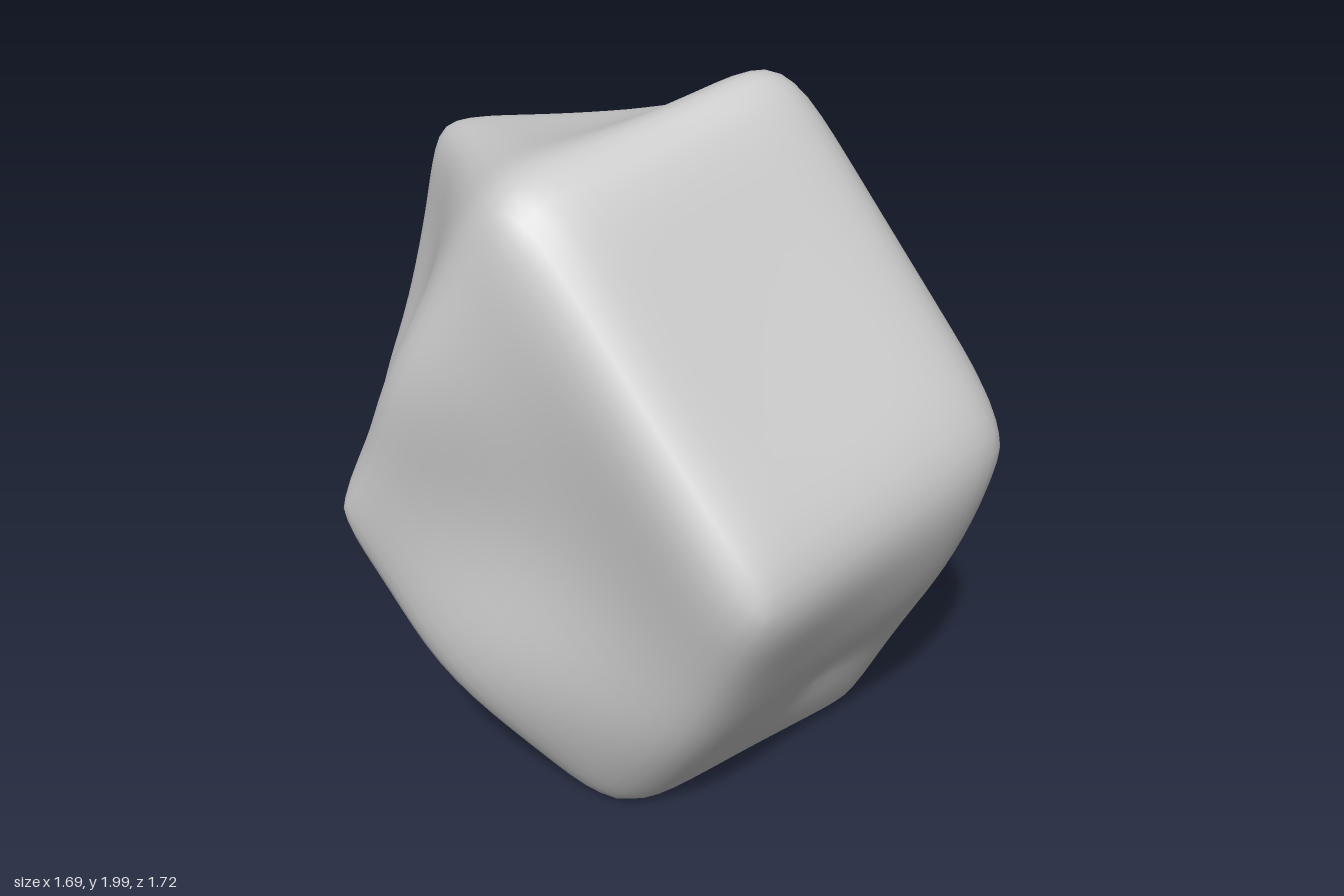
import * as THREE from 'three';
import { mergeVertices } from 'three/addons/utils/BufferGeometryUtils.js';

// Where the rounded corners of the boulder lie: a skewed twelve-sided block
const corners = {
  topRight: [0.32, 1.975, 0.02], topFront: [-0.45, 1.79, 0.32],
  topBack: [0.34, 1.64, -0.59], topLeft: [-0.45, 1.73, -0.5],
  front: [0.05, 0.98, 0.855], back: [-0.03, 0.88, -0.84],
  rightFront: [0.83, 1.06, 0.38], rightBack: [0.79, 1.06, -0.43],
  leftFront: [-0.83, 0.86, -0.05], leftBack: [-0.62, 0.9, -0.55],
  footRightFront: [0.56, 0.04, 0.06], footRightBack: [0.47, 0.05, -0.61],
  footLeftFront: [-0.22, 0.04, 0.29], footLeftBack: [-0.23, 0.04, -0.38],
};

// Four corners in order around each face, then how deeply it is worn in
const faces = [
  ['topRight', 'topFront', 'topLeft', 'topBack', 0.05],
  ['topRight', 'topFront', 'front', 'rightFront', 0.04],
  ['topRight', 'rightFront', 'rightBack', 'topBack', 0],
  ['topBack', 'back', 'leftBack', 'topLeft', 0.01],
  ['topLeft', 'leftBack', 'leftFront', 'topFront', 0.08],
  ['topFront', 'leftFront', 'footLeftFront', 'front', 0.05],
  ['front', 'footLeftFront', 'footRightFront', 'rightFront', 0],
  ['rightFront', 'footRightFront', 'footRightBack', 'rightBack', 0],
  ['rightBack', 'footRightBack', 'back', 'topBack', 0.12],
  ['back', 'footRightBack', 'footLeftBack', 'leftBack', 0],
  ['leftBack', 'footLeftBack', 'footLeftFront', 'leftFront', 0],
  ['footRightFront', 'footRightBack', 'footLeftBack', 'footLeftFront', 0],
];

// Soft swellings and dimples of the sides: position, radius, height
const swells = [
  [[-0.55, 0.35, 0], 0.4, 0.06],
  [[-0.5, 0.5, 0.32], 0.3, 0.05],
  [[-0.64, 1.32, 0.1], 0.3, 0.05],
  [[-0.1, 0.4, 0.55], 0.35, 0.04],
  [[-0.4, 0.6, -0.65], 0.4, 0.05],
  [[-0.3, 0.75, -0.76], 0.28, 0.03],
  [[0.1, 0.4, -0.7], 0.35, 0.05],
  [[0.6, 0.65, 0.45], 0.3, 0.035],
  [[0.45, 0.35, 0.42], 0.12, -0.04],
];

const STEPS = 18;
const ROUNDING = 14;
const centre = new THREE.Vector3(0, 0.95, 0);

// Adds one face as a grid of points, pushed inwards towards its middle
function addFace(cage, [a, b, c, d, dent], positions, index) {
  let [p, q, r, s] = [a, b, c, d].map((name) => cage[name]);
  const normal = r.clone().sub(p).cross(s.clone().sub(q)).normalize();
  const middle = p.clone().add(q).add(r).add(s).multiplyScalar(0.25);
  if (normal.dot(middle.sub(centre)) < 0) {
    [q, s] = [s, q];
    normal.negate();
  }
  const base = positions.length / 3;
  const row = STEPS + 1;
  for (let j = 0; j <= STEPS; j++) {
    for (let i = 0; i <= STEPS; i++) {
      const u = i / STEPS, v = j / STEPS;
      const near = p.clone().lerp(q, u), far = s.clone().lerp(r, u);
      const depth = dent * 16 * u * (1 - u) * v * (1 - v);
      positions.push(...near.lerp(far, v).addScaledVector(normal, -depth).toArray());
      if (i < STEPS && j < STEPS) {
        const k = base + j * row + i;
        index.push(k, k + 1, k + row + 1, k, k + row + 1, k + row);
      }
    }
  }
}

// Joins the twelve faces into one closed block
function buildBlock(cage) {
  const positions = [], index = [];
  faces.forEach((face) => addFace(cage, face, positions, index));
  const geometry = new THREE.BufferGeometry();
  geometry.setAttribute('position', new THREE.Float32BufferAttribute(positions, 3));
  geometry.setIndex(index);
  return mergeVertices(geometry, 1e-4);
}

function readPoints(geometry) {
  const pos = geometry.attributes.position;
  return Array.from({ length: pos.count }, (_, i) => new THREE.Vector3().fromBufferAttribute(pos, i));
}

// Rounds the edges by drawing every point towards its neighbours
function roundEdges(geometry, points) {
  const idx = geometry.index.array;
  const links = points.map(() => new Set());
  for (let t = 0; t < idx.length; t += 3) {
    for (let e = 0; e < 3; e++) {
      const m = idx[t + e], n = idx[t + (e + 1) % 3];
      links[m].add(n);
      links[n].add(m);
    }
  }
  for (let pass = 0; pass < ROUNDING; pass++) {
    points = points.map((point, i) => {
      const mean = new THREE.Vector3();
      links[i].forEach((n) => mean.add(points[n]));
      return mean.divideScalar(links[i].size).lerp(point, 0.5);
    });
  }
  return points;
}

// Moves the sharp corners out until the rounded ones lie where they should
function solveCage() {
  const cage = {};
  for (const name in corners) cage[name] = new THREE.Vector3(...corners[name]);
  for (let round = 0; round < 4; round++) {
    const block = buildBlock(cage);
    const sharp = readPoints(block);
    const smooth = roundEdges(block, sharp);
    for (const name in corners) {
      const at = sharp.findIndex((point) => point.distanceTo(cage[name]) < 1e-3);
      cage[name].add(new THREE.Vector3(...corners[name])).sub(smooth[at]);
    }
  }
  return cage;
}

// Swells a point sideways and rests it on the flat underside
function weather(point) {
  const outward = new THREE.Vector3(point.x, 0, point.z).normalize();
  let push = 0;
  for (const [at, radius, height] of swells) {
    const distance = point.distanceTo(new THREE.Vector3(...at)) / radius;
    push += height * Math.exp(-distance * distance);
  }
  point.addScaledVector(outward, push);
  point.y = Math.max(point.y, 0);
}

export function createModel() {
  const geometry = buildBlock(solveCage());
  const points = roundEdges(geometry, readPoints(geometry));
  points.forEach((point, i) => {
    weather(point);
    geometry.attributes.position.setXYZ(i, point.x, point.y, point.z);
  });
  geometry.computeVertexNormals();

  const boulder = new THREE.Mesh(geometry, new THREE.MeshStandardMaterial({ color: 0xcccccc }));
  boulder.name = 'boulder';
  const group = new THREE.Group();
  group.name = 'rock';
  group.add(boulder);
  return group;
}
